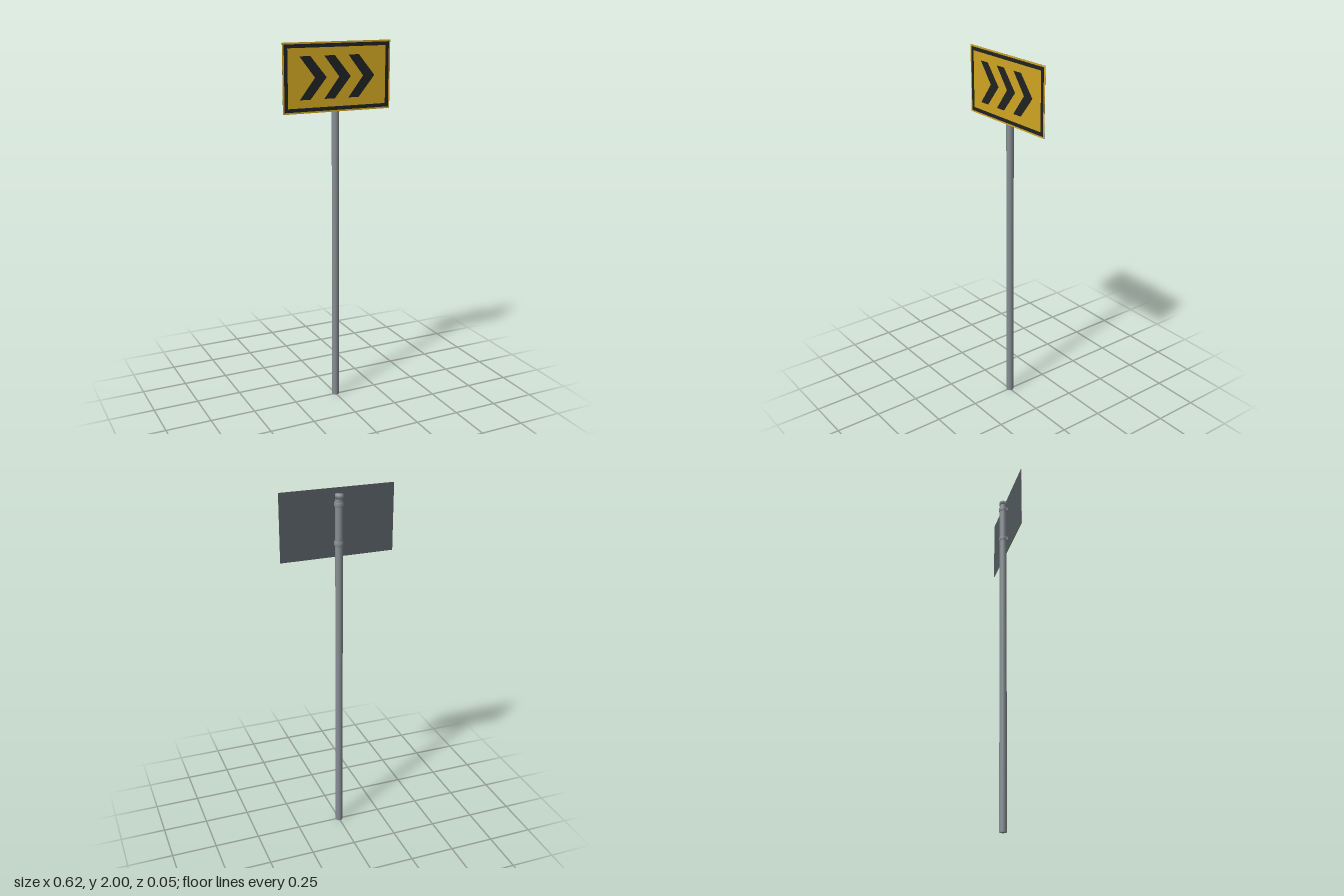
import * as THREE from 'three';

const mat = (name, color) => {
  const m = new THREE.MeshStandardMaterial({ color });
  m.name = name;
  return m;
};

// Rectangle outline centred on (0, y)
const rect = (Type, hw, hh, y) => new Type([
  [-hw, -hh], [hw, -hh], [hw, hh], [-hw, hh],
].map(([a, b]) => new THREE.Vector2(a, y + b)));

export function createModel() {
  const steel = mat('galvanised steel', 0x878e92);
  const backGrey = mat('panel back grey', 0x535c60);
  const yellow = mat('sign yellow', 0xd0a622);
  const black = mat('sign black', 0x202122);

  const group = new THREE.Group();
  group.name = 'chevronRoadSign';
  const add = (name, geometry, material, x = 0, y = 0, z = 0) => {
    const mesh = new THREE.Mesh(geometry, material);
    mesh.name = name;
    mesh.position.set(x, y, z);
    group.add(mesh);
    return mesh;
  };
  // Turned part with normals smoothed over its rims
  const turned = (points) =>
    new THREE.LatheGeometry(points.map(([r, y]) => new THREE.Vector2(r, y)), 16);

  const poleZ = -0.003;
  const signY = 1.819;

  // Pole and its end cap
  add('pole', turned([[0, 0], [0.02, 0], [0.02, 1.96], [0, 1.96]]), steel, 0, 0, poleZ);
  add('poleCap', turned([[0, 0], [0.0215, 0], [0.0215, 0.022], [0, 0.025]]), steel, 0, 1.95, poleZ);

  // Clamps: a band round the pole and a bracket reaching the panel
  for (const y of [1.715, 1.919]) {
    add('clampBand', turned([[0.019, -0.014], [0.0235, -0.011], [0.0235, 0.011], [0.019, 0.014]]),
      steel, 0, y, poleZ);
    add('clampBracket', new THREE.BoxGeometry(0.037, 0.022, 0.016), steel, 0, y, 0.0135);
  }

  // Panel: grey sheet with a yellow face
  add('panelBack', new THREE.BoxGeometry(0.618, 0.362, 0.001), backGrey, 0, signY, 0.0215);
  const plate = (name, shape, z, material, x = 0) => add(name,
    new THREE.ExtrudeGeometry(shape, { depth: 0.001, bevelEnabled: false }), material, x, signY, z);
  plate('panelFace', rect(THREE.Shape, 0.309, 0.181, 0), 0.022, yellow);

  // Black border
  const border = rect(THREE.Shape, 0.3, 0.172, 0);
  border.holes.push(rect(THREE.Path, 0.281, 0.153, 0));
  plate('border', border, 0.0231, black);

  // Three chevrons pointing to the sign's left
  const chevron = new THREE.Shape([
    [-0.076, 0.111], [-0.016, 0.111], [0.076, 0], [-0.016, -0.111], [-0.076, -0.111], [0.01, 0],
  ].map(([x, y]) => new THREE.Vector2(x, y)));
  for (const i of [-1, 0, 1]) plate('chevron', chevron, 0.0231, black, i * 0.139);

  return group;
}
